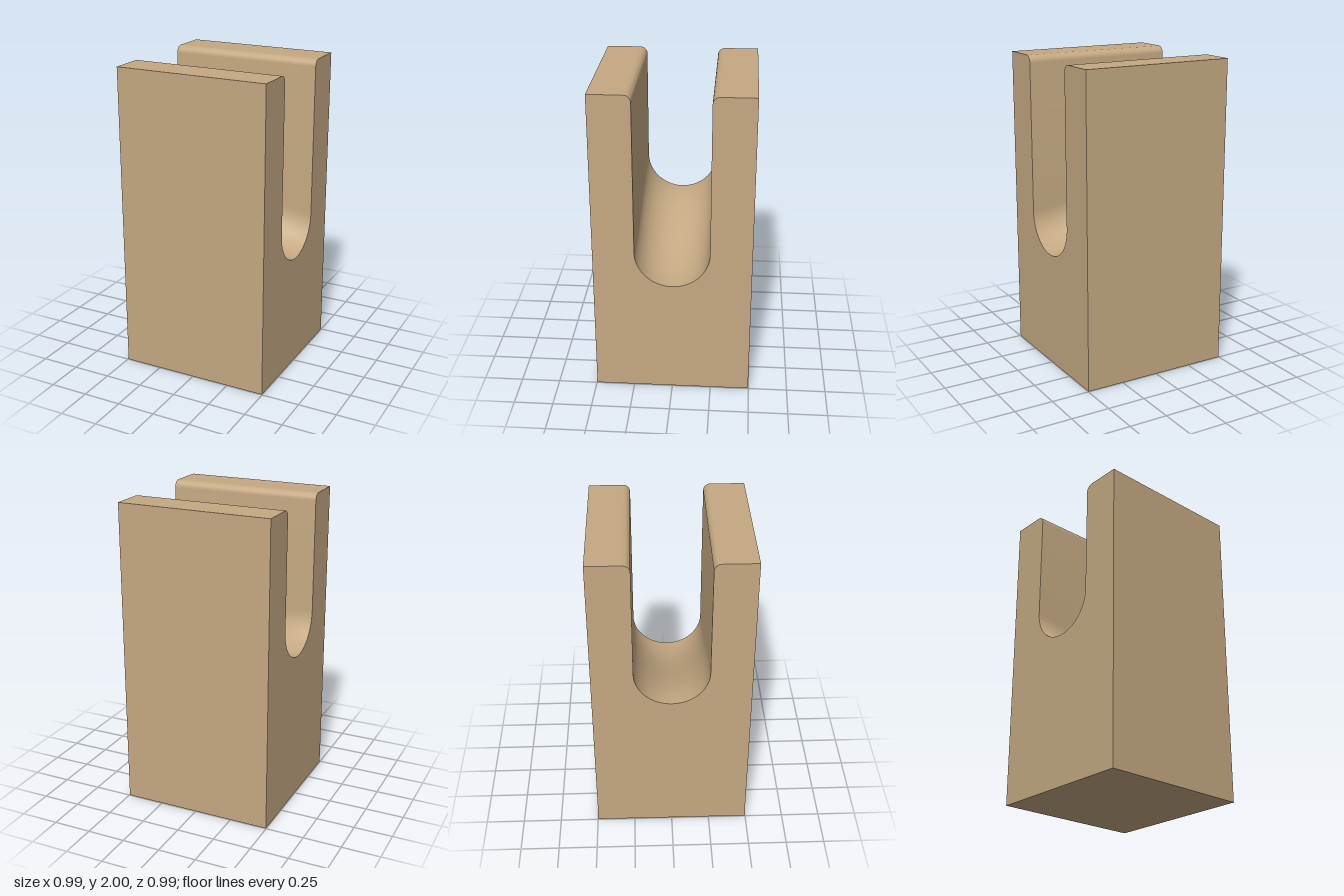
import * as THREE from 'three';
import { toCreasedNormals } from 'three/addons/utils/BufferGeometryUtils.js';

const HALF = 0.497;    // half width and depth of the block
const HEIGHT = 2;
const SLOT = 0.235;    // radius of the slot
const LIP = 0.045;     // rounding of the slot's top edges
const LOW = 0.985;     // arc centre at the low end
const RISE = 0.25;     // height gained across the slot

// U-shaped section, drawn counter-clockwise
function section() {
  const s = new THREE.Shape();
  s.moveTo(-HALF, 0);
  s.lineTo(HALF, 0);
  s.lineTo(HALF, HEIGHT);
  s.lineTo(SLOT + LIP, HEIGHT);
  s.absarc(SLOT + LIP, HEIGHT - LIP, LIP, Math.PI / 2, Math.PI, false);
  s.lineTo(SLOT, LOW);
  s.absarc(0, LOW, SLOT, 0, -Math.PI, true);
  s.lineTo(-SLOT, HEIGHT - LIP);
  s.absarc(-SLOT - LIP, HEIGHT - LIP, LIP, 0, Math.PI / 2, false);
  s.lineTo(-HALF, HEIGHT);
  s.closePath();
  return s;
}

export function createModel() {
  const group = new THREE.Group();
  group.name = 'slottedBlock';
  const tan = new THREE.MeshStandardMaterial({ color: 0xc4a882 });
  tan.name = 'tan';

  const geo = new THREE.ExtrudeGeometry(section(), {
    depth: 2 * HALF, steps: 32, curveSegments: 24, bevelEnabled: false,
  });
  geo.translate(0, 0, -HALF);
  geo.rotateY(Math.PI / 2);

  // The slot floor climbs in an S-curve from +x to -x
  const p = geo.attributes.position;
  for (let i = 0; i < p.count; i++) {
    const y = p.getY(i);
    if (Math.abs(p.getZ(i)) < SLOT + 0.001 && y > 0.5 && y < 1.5) {
      p.setY(i, y + RISE * THREE.MathUtils.smoothstep(-p.getX(i), -HALF, HALF));
    }
  }

  const block = new THREE.Mesh(toCreasedNormals(geo, 0.6), tan);
  block.name = 'block';
  group.add(block);
  return group;
}
